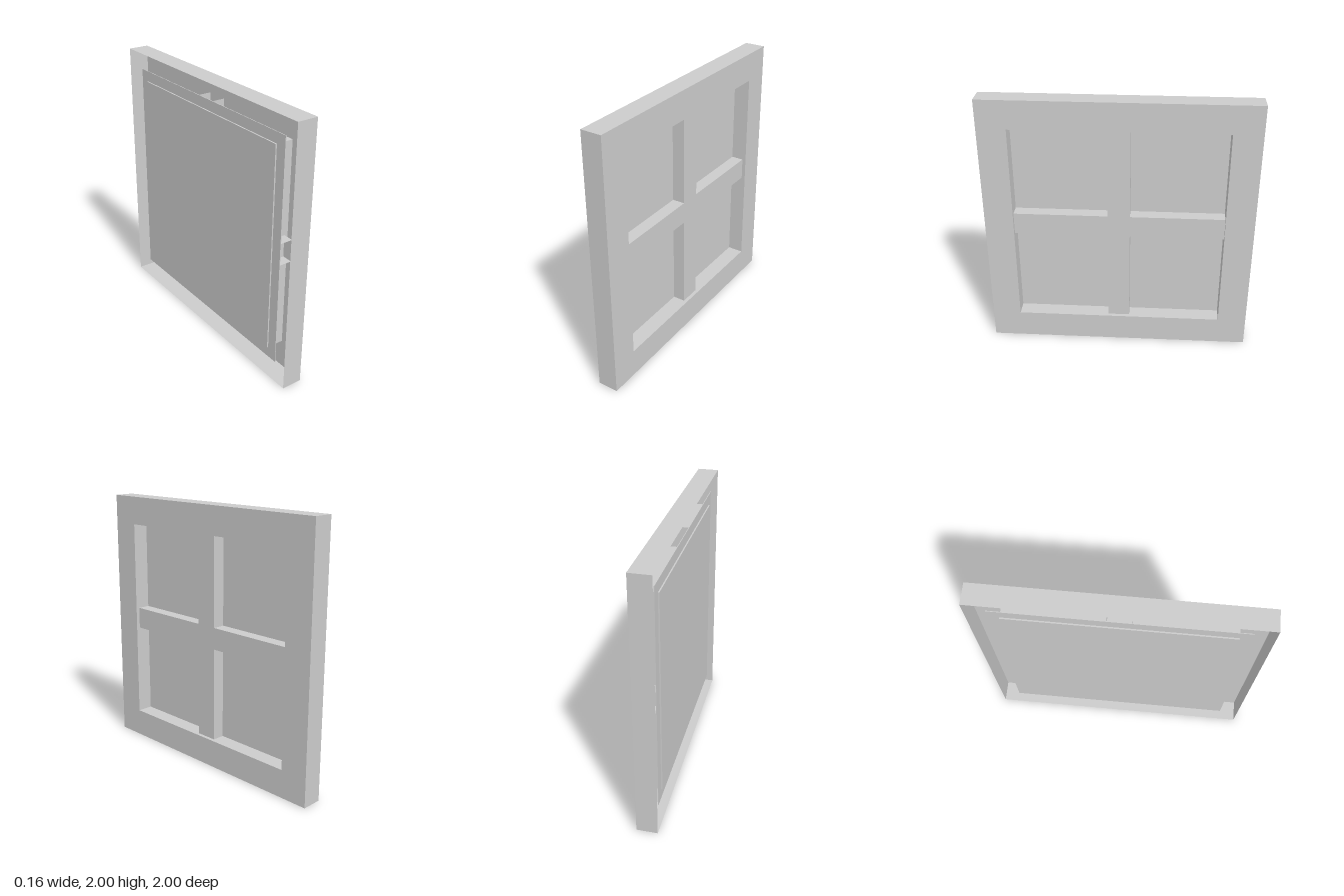
import * as THREE from 'three';

const FRONT = 0.078, BACK = -0.078;   // casing depth along x
const OPEN = 0.785;                   // half size of the window opening
const FLANGE = 0.865;                 // half size of the backing panel
const BAR = 0.083, BAR_Y = 0.02;      // glazing bar half width and vertical offset
const BAR_X = 0.05, PANE_X = -0.045;  // bar face and pane face

export function createModel() {
  const model = new THREE.Group();
  model.name = 'window';
  const material = new THREE.MeshStandardMaterial({ color: 0xcccccc, side: THREE.DoubleSide });

  const add = (parent, name, geometry, x = 0, y = 0, z = 0) => {
    const mesh = new THREE.Mesh(geometry, material);
    mesh.name = name;
    mesh.position.set(x, y, z);
    parent.add(mesh);
  };
  const group = (name) => {
    const g = new THREE.Group();
    g.name = name;
    g.position.y = 1;
    model.add(g);
    return g;
  };
  // Thin walls running from x0 to x1: level (facing y) or upright (facing z)
  const level = (parent, name, x0, x1, y, z0, z1, up) =>
    add(parent, name, new THREE.PlaneGeometry(x1 - x0, Math.abs(z1 - z0)).rotateX(-up * Math.PI / 2),
      (x0 + x1) / 2, y, (z0 + z1) / 2);
  const upright = (parent, name, x0, x1, z, y0, y1, out) =>
    add(parent, name, new THREE.PlaneGeometry(x1 - x0, Math.abs(y1 - y0)).rotateY(out > 0 ? 0 : Math.PI),
      (x0 + x1) / 2, (y0 + y1) / 2, z);
  const facing = (shape) => new THREE.ShapeGeometry(shape).rotateY(Math.PI / 2);
  const square = (Type, h) => new Type([[-h, -h], [h, -h], [h, h], [-h, h]].map(p => new THREE.Vector2(...p)));

  // Casing: framed face, outer rim and the reveal around the opening, open at the back
  const casing = group('casing');
  const face = square(THREE.Shape, 1);
  face.holes.push(square(THREE.Path, OPEN));
  add(casing, 'frameFace', facing(face), FRONT);
  for (const s of [-1, 1]) {
    level(casing, 'rim', BACK, FRONT, s, -1, 1, s);
    upright(casing, 'rim', BACK, FRONT, s, -1, 1, s);
    level(casing, 'reveal', PANE_X, FRONT, s * OPEN, -OPEN, OPEN, -s);
    upright(casing, 'reveal', PANE_X, FRONT, s * OPEN, -OPEN, OPEN, -s);
  }

  // Glazing bars: one cross-shaped face with hollow, open-ended arms
  const bars = group('glazingBars');
  const lo = BAR_Y - BAR, hi = BAR_Y + BAR, F = FLANGE;
  const cross = new THREE.Shape([
    [-BAR, -F], [BAR, -F], [BAR, lo], [F, lo], [F, hi], [BAR, hi],
    [BAR, F], [-BAR, F], [-BAR, hi], [-F, hi], [-F, lo], [-BAR, lo],
  ].map(p => new THREE.Vector2(...p)));
  add(bars, 'crossFace', facing(cross), BAR_X);
  for (const s of [-1, 1]) {
    for (const t of [-1, 1]) {
      const y = BAR_Y + t * BAR;
      level(bars, 'barSide', PANE_X, BAR_X, y, s * BAR, s * F, t);
      upright(bars, 'barSide', PANE_X, BAR_X, s * BAR, y, t * F, s);
    }
  }

  // Pane with a slightly raised back plate
  const pane = group('pane');
  add(pane, 'paneFlange', new THREE.BoxGeometry(0.005, 2 * F, 2 * F), PANE_X - 0.0025);
  add(pane, 'backPlate', new THREE.BoxGeometry(0.01, 2 * OPEN, 2 * OPEN), PANE_X - 0.01);

  return model;
}
